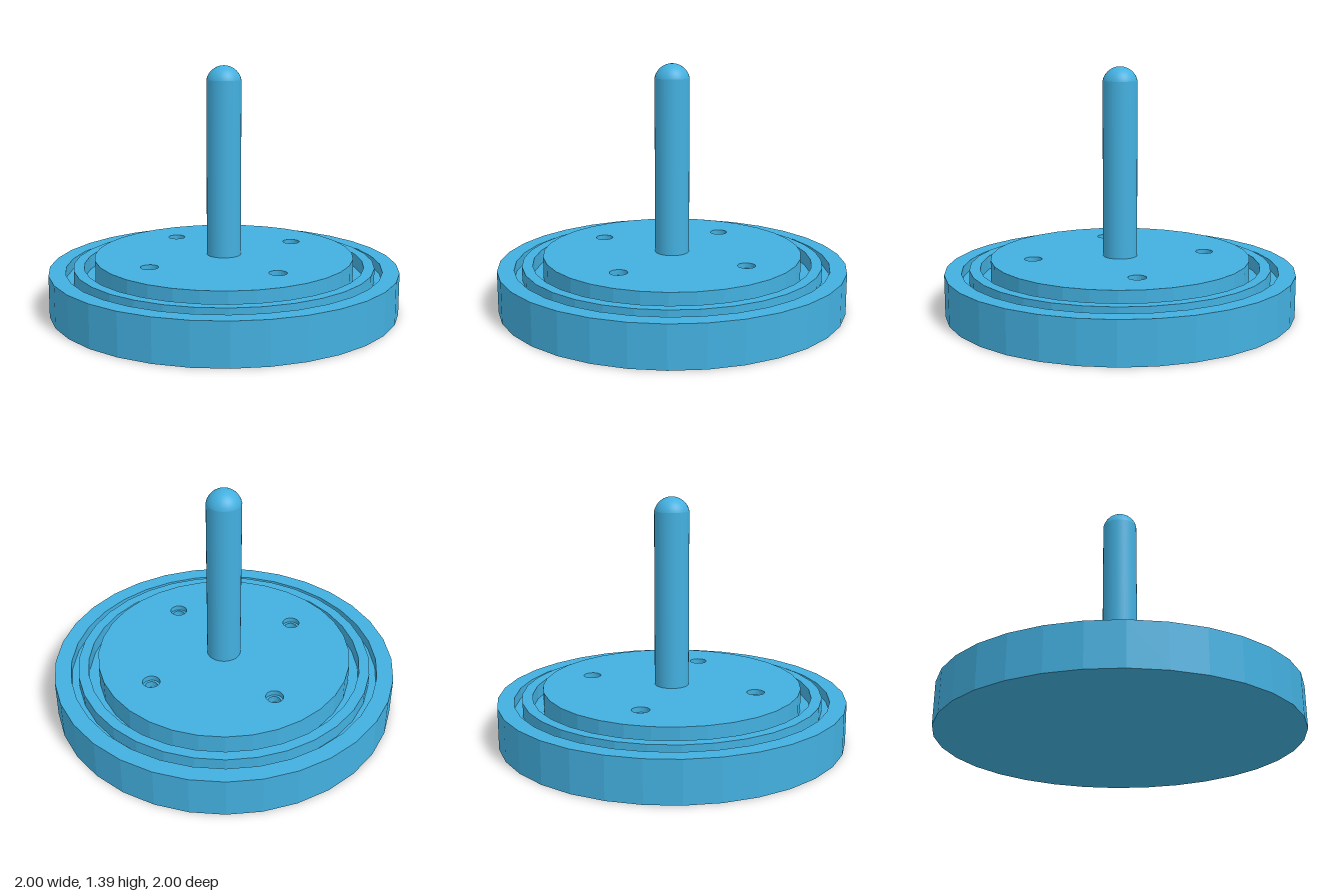
import * as THREE from 'three';

const SIDES = 32;
const COLOR = 0x43b0e0;

const points = (list) => list.map(([x, y]) => new THREE.Vector2(x, y));

// Regular polygon outline used for the plate and its holes
function circlePoints(radius, sides, cx = 0, cy = 0) {
  return Array.from({ length: sides }, (_, i) => {
    const a = (i / sides) * Math.PI * 2;
    return new THREE.Vector2(cx + radius * Math.cos(a), cy + radius * Math.sin(a));
  });
}

// Horizontal disc layer pierced by four evenly spaced holes
function piercedDisc(radius, holeRadius, bottom, top) {
  const shape = new THREE.Shape(circlePoints(radius, SIDES));
  for (let i = 0; i < 4; i++) {
    const a = (i * Math.PI) / 2;
    const hole = circlePoints(holeRadius, SIDES, 0.5 * Math.cos(a), 0.5 * Math.sin(a));
    shape.holes.push(new THREE.Path(hole));
  }
  const geometry = new THREE.ExtrudeGeometry(shape, { depth: top - bottom, bevelEnabled: false });
  return geometry.rotateX(-Math.PI / 2).translate(0, bottom, 0);
}

export function createModel() {
  const group = new THREE.Group();
  group.name = 'discWithRod';
  const faceted = new THREE.MeshStandardMaterial({ color: COLOR, flatShading: true });
  const smooth = new THREE.MeshStandardMaterial({ color: COLOR });

  const add = (name, geometry, material) => {
    const mesh = new THREE.Mesh(geometry, material);
    mesh.name = name;
    group.add(mesh);
  };

  // Base: outer rim, groove, raised ring, inner groove and core under the plate
  add('base', new THREE.LatheGeometry(points([
    [0, 0], [1, 0], [1, 0.24], [0.905, 0.24], [0.905, 0.18], [0.86, 0.18],
    [0.86, 0.26], [0.8, 0.26], [0.8, 0.18], [0.74, 0.18], [0.74, 0.24], [0, 0.24],
  ]), SIDES), faceted);

  // Centre plate: wide hole mouths above narrower blind holes
  add('plateLower', piercedDisc(0.74, 0.036, 0.24, 0.28), faceted);
  add('plateUpper', piercedDisc(0.74, 0.05, 0.28, 0.31), faceted);

  // Upright rod with a domed tip
  add('rod', new THREE.CylinderGeometry(0.098, 0.098, 1.01, SIDES, 1, true).translate(0, 0.805, 0), smooth);
  add('rodTip', new THREE.SphereGeometry(0.1, SIDES, 12, 0, Math.PI * 2, 0, Math.acos(0.2))
    .translate(0, 1.29, 0), smooth);

  return group;
}
